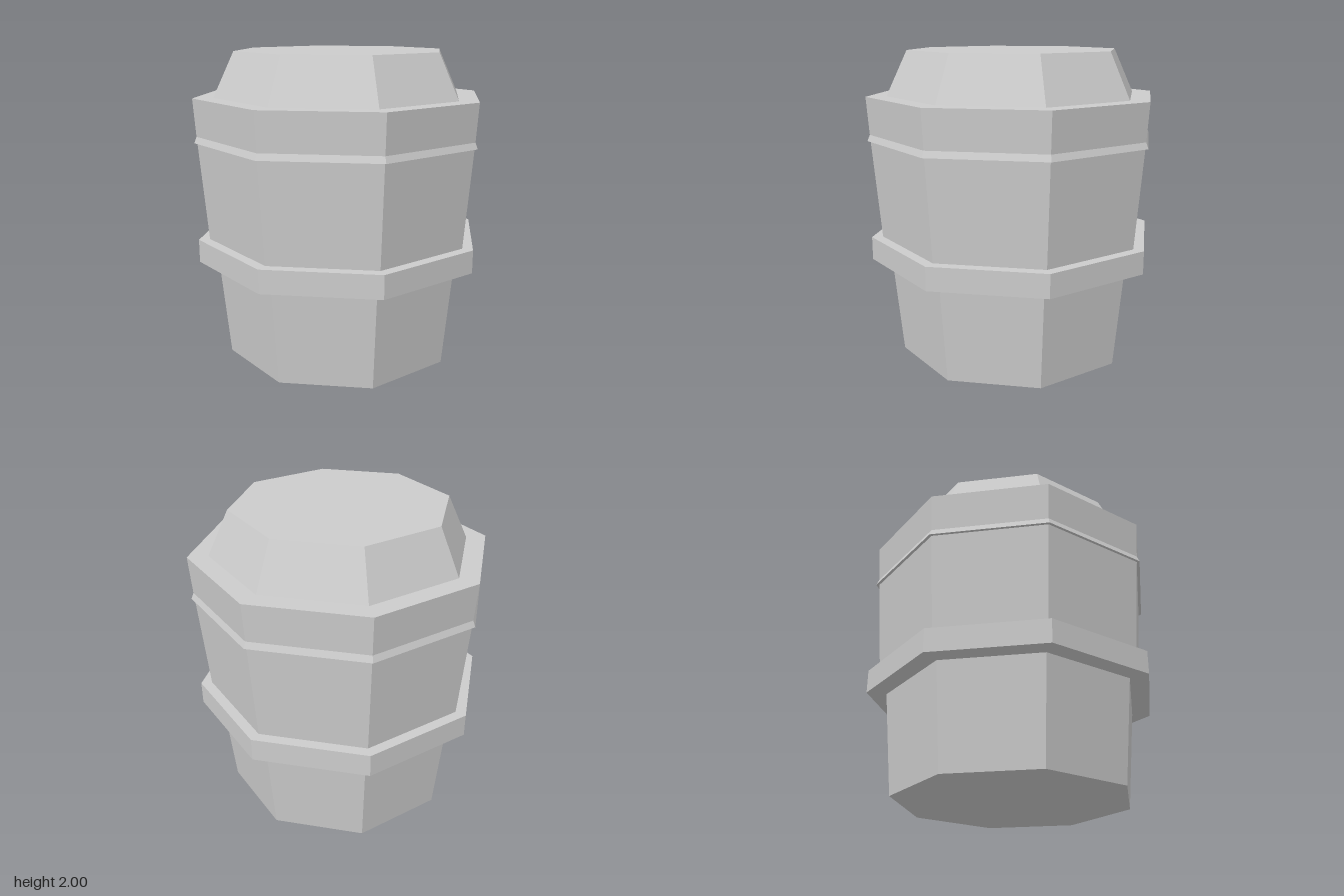
import * as THREE from 'three';

const SIDES = 8;

// Octagonal turned part; profile is [flat-side distance, height] from bottom to top
function octagon(name, profile, material) {
  const scale = 1 / Math.cos(Math.PI / SIDES);
  const points = profile.map(([r, y]) => new THREE.Vector2(r * scale, y));
  const geometry = new THREE.LatheGeometry(points, SIDES, Math.PI / SIDES);
  const mesh = new THREE.Mesh(geometry, material);
  mesh.name = name;
  return mesh;
}

export function createModel() {
  const group = new THREE.Group();
  group.name = 'barrel';
  const grey = new THREE.MeshStandardMaterial({ color: 0xcccccc, flatShading: true });
  grey.name = 'light grey';

  group.add(
    // Tapered foot with closed underside
    octagon('lowerBody', [[0, 0], [0.705, 0], [0.763, 0.65]], grey),
    // Straight band around the waist
    octagon('waistBand', [[0.763, 0.65], [0.878, 0.65], [0.878, 0.8], [0.812, 0.8]], grey),
    // Flared upper wall
    octagon('upperBody', [[0.812, 0.8], [0.86, 1.435]], grey),
    // Thin sloping lip
    octagon('lip', [[0.86, 1.435], [0.878, 1.435], [0.863, 1.475]], grey),
    // Rim above the lip, with its ledge
    octagon('rim', [[0.863, 1.475], [0.878, 1.715], [0.758, 1.715]], grey),
    // Bevelled lid
    octagon('lid', [[0.758, 1.715], [0.633, 2], [0, 2]], grey),
  );
  return group;
}
